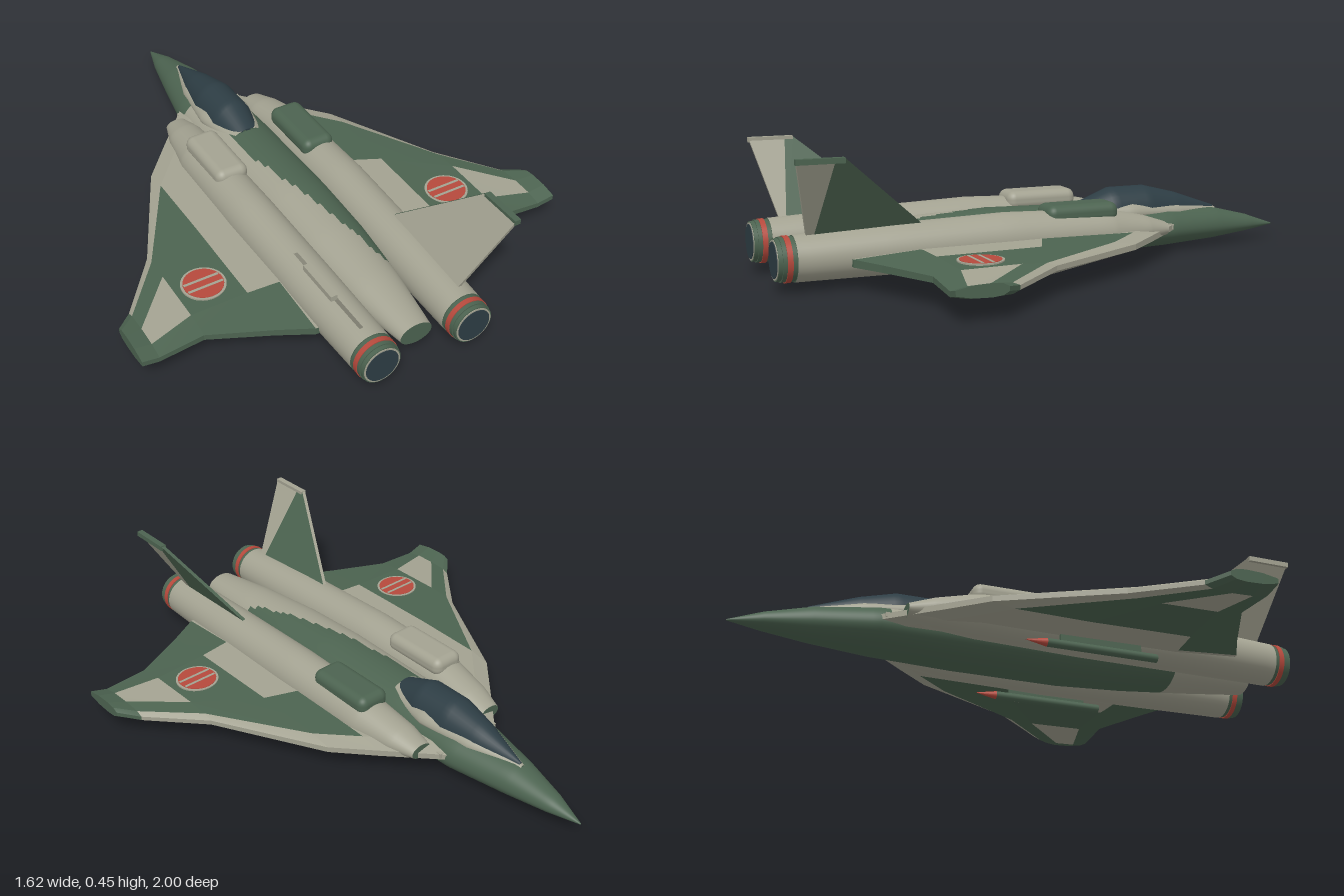
import * as THREE from 'three';
import { RoundedBoxGeometry } from 'three/addons/geometries/RoundedBoxGeometry.js';

const paint = (name, color) => Object.assign(new THREE.MeshStandardMaterial({ color }), { name });

export function createModel() {
  const model = new THREE.Group();
  model.name = 'jetFighter';
  const green = paint('camouflage green', 0x4c6350);
  const beige = paint('camouflage beige', 0xa3a291);
  const red = paint('marking red', 0xb5493c);
  const dark = paint('dark glass', 0x2d3d44);
  const mats = [green, beige];
  const G = 0, B = 1;

  function add(name, geometry, material, x = 0, y = 0, z = 0) {
    const mesh = new THREE.Mesh(geometry, material);
    mesh.name = name;
    mesh.position.set(x, y, z);
    model.add(mesh);
    return mesh;
  }

  // Geometry from triangles sorted by colour: tris[colour] = list of indices
  function grouped(positions, tris) {
    const g = new THREE.BufferGeometry();
    g.setAttribute('position', new THREE.Float32BufferAttribute(positions, 3));
    g.setIndex(tris.flat());
    let start = 0;
    tris.forEach((t, m) => { g.addGroup(start, t.length, m); start += t.length; });
    g.computeVertexNormals();
    return g;
  }

  // Smooth body through elliptical sections [z, centre x, half width, centre y, top y, bottom y]
  function loft(sections, colourAt = () => G, n = 32, sub = 8) {
    const rows = [];
    sections.forEach((s, i) => {
      const next = sections[i + 1];
      if (!next) return rows.push(s);
      for (let k = 0; k < sub; k++) rows.push(s.map((v, c) => v + (next[c] - v) * k / sub));
    });
    const pos = [], tris = [[], []];
    const ring = ([z, cx, w, cy, top, bottom]) => {
      for (let j = 0; j < n; j++) {
        const a = j / n * Math.PI * 2, sn = Math.sin(a);
        pos.push(cx + w * Math.cos(a), cy + sn * (sn > 0 ? top - cy : cy - bottom), z);
      }
    };
    rows.forEach(ring);
    for (let i = 0; i < rows.length - 1; i++) for (let j = 0; j < n; j++) {
      const a = i * n + j, b = i * n + (j + 1) % n, p = (a + n) * 3;
      const colour = colourAt((pos[a * 3] + pos[b * 3]) / 2, (pos[a * 3 + 1] + pos[b * 3 + 1]) / 2, (pos[a * 3 + 2] + pos[p + 2]) / 2);
      tris[colour].push(a, b, b + n, a, b + n, a + n);
    }
    // end caps
    [rows[0], rows.at(-1)].forEach((r, end) => {
      const base = pos.length / 3;
      ring(r);
      pos.push(r[1], r[3], r[0]);
      for (let j = 0; j < n; j++) {
        const e = [base + j, base + (j + 1) % n];
        if (!end) e.reverse();
        tris[G].push(base + n, ...e);
      }
    });
    return grouped(pos, tris);
  }

  // Flat-faced geometry from quads [colour, a, b, c, d]; side -1 mirrors it in x
  function facets(quads, side) {
    const pos = [], tris = [[], []];
    quads.forEach(([colour, ...corners]) => {
      const o = pos.length / 3;
      corners.forEach(([x, y, z]) => pos.push(x * side, y, z));
      tris[colour].push(...(side > 0 ? [0, 1, 2, 0, 2, 3] : [0, 2, 1, 0, 3, 2]).map(i => i + o));
    });
    return grouped(pos, tris);
  }

  // Fuselage: green nose, belly and dorsal sweep, beige rear
  add('fuselage', loft([
    [-1, 0, 0.002, 0.06, 0.062, 0.058],
    [-0.88, 0, 0.04, 0.07, 0.105, 0.042],
    [-0.72, 0, 0.076, 0.08, 0.145, 0.026],
    [-0.5, 0, 0.12, 0.088, 0.172, 0.015],
    [-0.2, 0, 0.13, 0.09, 0.19, 0.006],
    [0.2, 0, 0.13, 0.095, 0.2, 0.004],
    [0.45, 0, 0.12, 0.1, 0.19, 0.018],
    [0.7, 0, 0.095, 0.1, 0.17, 0.04],
    [0.93, 0, 0.06, 0.1, 0.14, 0.062],
  ], (x, y, z) => {
    if (z < -0.45) return G;
    if (y < 0.09) return z < 0.6 ? G : B;
    return x > -0.065 + 0.2 * Math.max(0, z + 0.1) ** 1.2 && z < 0.65 ? G : B;
  }, 64), mats);

  // Canopy and its pale sill
  add('canopySill', loft([
    [-0.74, 0, 0.01, 0.135, 0.145, 0.12],
    [-0.55, 0, 0.072, 0.145, 0.185, 0.12],
    [-0.35, 0, 0.1, 0.155, 0.207, 0.12],
    [-0.17, 0, 0.068, 0.155, 0.196, 0.12],
  ], () => B), mats);
  add('canopy', loft([
    [-0.73, 0, 0.008, 0.135, 0.152, 0.12],
    [-0.56, 0, 0.06, 0.14, 0.212, 0.12],
    [-0.43, 0, 0.083, 0.15, 0.245, 0.12],
    [-0.29, 0, 0.083, 0.15, 0.245, 0.12],
    [-0.17, 0, 0.055, 0.15, 0.198, 0.12],
  ]), [dark, dark]);

  // Wing stations: x, centre y, thickness scale, z of each chord line
  const stations = [
    [0.1, 0.1, 1, [-0.52, -0.44, 0.1, 0.53, 0.78]],
    [0.27, 0.097, 1.1, [-0.33, -0.25, 0.1, 0.53, 0.76]],
    [0.385, 0.096, 1, [-0.2, -0.12, 0.15, 0.52, 0.7]],
    [0.59, 0.095, 0.85, [0.19, 0.225, 0.31, 0.515, 0.605]],
    [0.75, 0.084, 0.75, [0.385, 0.41, 0.48, 0.555, 0.61]],
    [0.812, 0.099, 0.75, [0.445, 0.465, 0.5, 0.56, 0.615]],
  ];
  const halfThickness = [0.01, 0.024, 0.029, 0.026, 0.012];
  const wingPoint = (i, k, up) => {
    const [x, y, t, z] = stations[i];
    return [x, y + up * t * halfThickness[k], z[k]];
  };

  for (const s of [1, -1]) {
    const side = s > 0 ? 'left' : 'right';

    // Wing: camouflage cells by span panel and chord strip
    const camo = [[B, B, B, B], [B, s > 0 ? G : B, B, G], [B, G, G, G], [B, G, B, G], [G, G, G, G]];
    const quads = [];
    camo.forEach((strip, i) => {
      strip.forEach((c, k) => {
        for (const up of [1, -1]) {
          const q = [wingPoint(i, k, up), wingPoint(i, k + 1, up), wingPoint(i + 1, k + 1, up), wingPoint(i + 1, k, up)];
          quads.push([c, ...(up > 0 ? q : q.reverse())]);
        }
        if (i === 4) quads.push([G, wingPoint(5, k, 1), wingPoint(5, k + 1, 1), wingPoint(5, k + 1, -1), wingPoint(5, k, -1)]);
      });
      quads.push([strip[0], wingPoint(i, 0, 1), wingPoint(i + 1, 0, 1), wingPoint(i + 1, 0, -1), wingPoint(i, 0, -1)]);
      quads.push([G, wingPoint(i, 4, -1), wingPoint(i + 1, 4, -1), wingPoint(i + 1, 4, 1), wingPoint(i, 4, 1)]);
    });
    add(side + 'Wing', facets(quads, s), mats);

    // Wing roundel: pale rim, red disc and two pale bars
    add(side + 'RoundelRim', new THREE.CylinderGeometry(0.077, 0.077, 0.008, 40), beige, s * 0.49, 0.12, 0.41);
    add(side + 'RoundelDisc', new THREE.CylinderGeometry(0.069, 0.069, 0.009, 40), red, s * 0.49, 0.1208, 0.41);
    for (const dz of [-0.018, 0.018])
      add(side + 'RoundelBar', new THREE.BoxGeometry(0.128, 0.009, 0.01), beige, s * 0.49, 0.1216, 0.41 + dz);

    // Engine nacelle with intake fairing
    add(side + 'Nacelle', loft([
      [-0.43, s * 0.165, 0.042, 0.11, 0.135, 0.085],
      [-0.34, s * 0.172, 0.066, 0.115, 0.165, 0.065],
      [-0.18, s * 0.185, 0.085, 0.118, 0.2, 0.045],
      [0.2, s * 0.187, 0.088, 0.12, 0.213, 0.033],
      [0.6, s * 0.182, 0.085, 0.115, 0.202, 0.033],
      [0.935, s * 0.175, 0.078, 0.11, 0.187, 0.033],
    ], () => B), mats);
    add(side + 'NacelleHump', new RoundedBoxGeometry(0.125, 0.07, 0.27, 4, 0.03), s > 0 ? green : beige, s * 0.178, 0.194, -0.078);
    add(side + 'IntakeTip', new THREE.BoxGeometry(0.022, 0.018, 0.08), beige, s * 0.122, 0.104, -0.45);

    // Exhaust nozzle: banded rings [radius, z start, z end]
    [['NozzleCollar', green, 0.074, 0.93, 0.95], ['NozzleBand', red, 0.077, 0.95, 0.968],
      ['NozzleRing', green, 0.074, 0.968, 0.982], ['NozzleLip', green, 0.07, 0.982, 0.996],
      ['NozzleRim', beige, 0.066, 0.99, 0.998], ['Exhaust', dark, 0.06, 0.98, 1],
    ].forEach(([name, mat, r, z0, z1]) =>
      add(side + name, new THREE.CylinderGeometry(r, r, z1 - z0, 36).rotateX(Math.PI / 2), mat, s * 0.175, 0.11, (z0 + z1) / 2));

    // Canted tail fin: front and rear panels given as [z at base, z at tip] edges
    const fin = [];
    const finPoint = (z, t, o) => [0.178 + 0.16 * t + o * 0.007, 0.17 + 0.278 * t, z];
    const panel = ([a0, a1], [b0, b1], outer, inner) => {
      const p = (z, t) => o => finPoint(z, t, o);
      const c = [p(a0, 0), p(a1, 1), p(b1, 1), p(b0, 0)];
      fin.push([outer, ...c.map(f => f(1))], [inner, ...c.map(f => f(-1)).reverse()]);
      c.forEach((f, i) => {
        const g = c[(i + 1) % 4];
        fin.push([outer, f(1), f(-1), g(-1), g(1)]);
      });
    };
    panel([0.47, 0.8], [0.87, 0.83], s > 0 ? G : B, s > 0 ? B : G);
    panel([0.87, 0.83], [0.89, 0.958], B, B);
    add(side + 'TailFin', facets(fin, s), mats);
    add(side + 'FinTip', new THREE.BoxGeometry(0.022, 0.018, 0.158), s > 0 ? green : beige, s * 0.337, 0.442, 0.88);

    // Missile on its pylon
    add(side + 'Missile', new THREE.CylinderGeometry(0.015, 0.015, 0.41, 14).rotateX(Math.PI / 2), green, s * 0.257, 0.03, 0.245);
    add(side + 'MissileTip', new THREE.ConeGeometry(0.015, 0.08, 14).rotateX(-Math.PI / 2), red, s * 0.257, 0.03, 0);
    add(side + 'Pylon', new THREE.BoxGeometry(0.012, 0.05, 0.3), green, s * 0.257, 0.06, 0.24);
  }
  return model;
}
